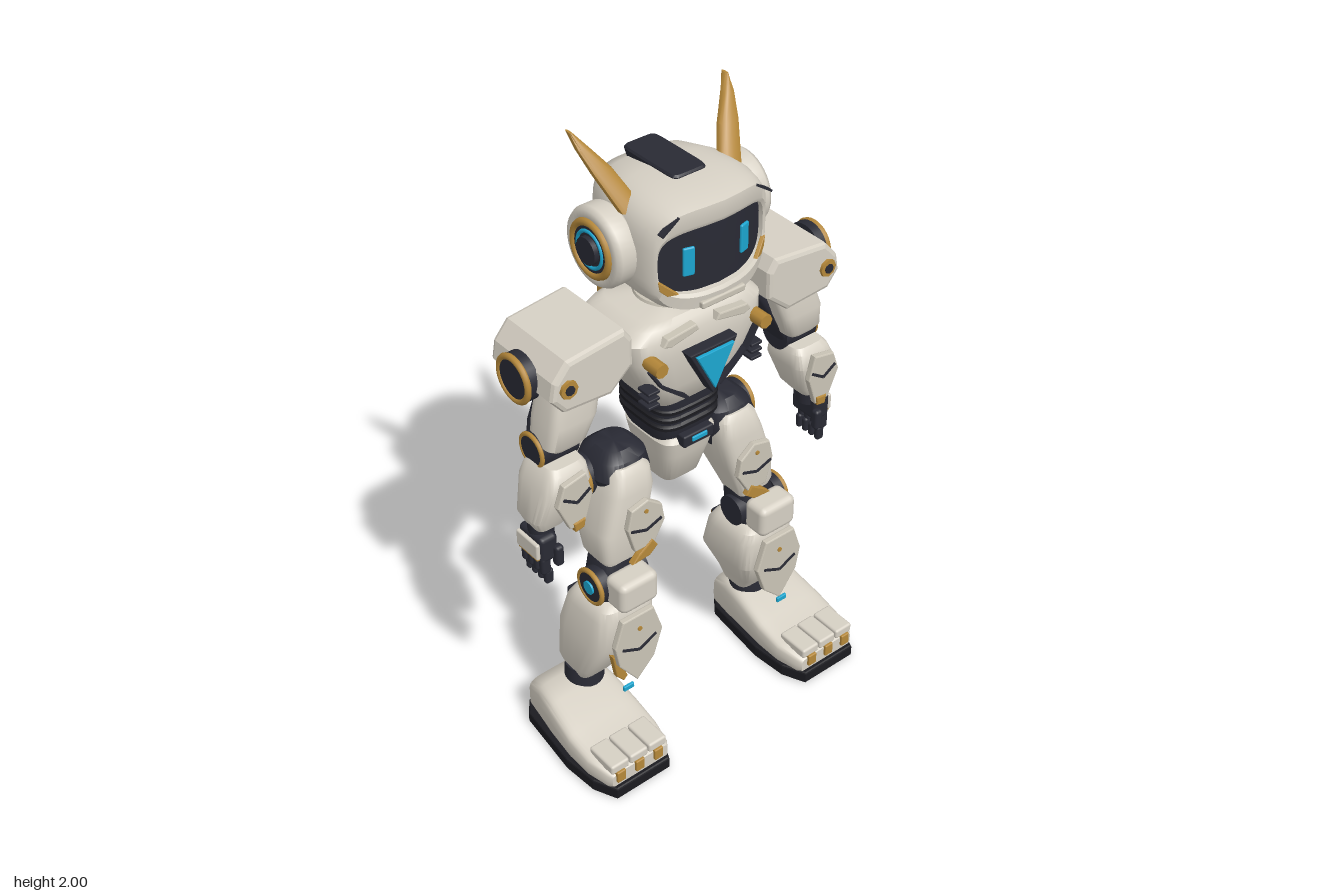
import * as THREE from 'three';
import { toCreasedNormals } from 'three/addons/utils/BufferGeometryUtils.js';
import { RoundedBoxGeometry } from 'three/addons/geometries/RoundedBoxGeometry.js';

const mat = (name, color) => Object.assign(new THREE.MeshStandardMaterial({ color }), { name });

// Superelliptic rings [t, centreU, centreV, halfU, halfV] stacked along y (u=x, v=z) or z (u=x, v=y)
function loft(sections, e = 4, axis = 'y', bend = null, n = 32) {
  const pos = [], idx = [], pw = (c) => Math.sign(c) * Math.abs(c) ** (2 / e);
  const put = (u, t, v) => {
    const p = axis === 'y' ? [u, t, v] : [u, v, t];
    if (bend) p[2] = bend(p[0], p[2]);
    pos.push(...p);
  };
  for (const [t, cu, cv, hu, hv] of sections)
    for (let j = 0; j < n; j++) {
      const a = (j / n) * Math.PI * 2, s = axis === 'y' ? 1 : -1;
      put(cu + hu * pw(Math.cos(a)), t, cv + s * hv * pw(Math.sin(a)));
    }
  const last = sections.length - 1;
  for (let i = 0; i < last; i++)
    for (let j = 0; j < n; j++) {
      const k = (j + 1) % n, a = i * n + j, b = i * n + k, c = b + n, d = a + n;
      idx.push(a, d, b, b, d, c);
    }
  for (const i of [0, last]) {
    const m = pos.length / 3, [t, cu, cv] = sections[i];
    put(cu, t, cv);
    for (let j = 0; j < n; j++) {
      const a = i * n + j, b = i * n + (j + 1) % n;
      idx.push(...(i ? [m, b, a] : [m, a, b]));
    }
  }
  const g = new THREE.BufferGeometry();
  g.setAttribute('position', new THREE.Float32BufferAttribute(pos, 3));
  g.setIndex(idx);
  return toCreasedNormals(g, 0.65);
}

// Polygon outline in xy, extruded from z with a small inset bevel
function plate(points, z, depth, bevel = 0.004) {
  const shape = new THREE.Shape(points.map(([x, y]) => new THREE.Vector2(x, y)));
  return new THREE.ExtrudeGeometry(shape, {
    depth: depth - 2 * bevel, bevelEnabled: bevel > 0, bevelThickness: bevel,
    bevelSize: bevel, bevelOffset: -bevel, bevelSegments: 2,
  }).translate(0, 0, z + bevel);
}
const box = (x, y, z, w, h, d, r = 0.006) => (r
  ? new RoundedBoxGeometry(w, h, d, 2, Math.min(r, w / 2.1, h / 2.1, d / 2.1))
  : new THREE.BoxGeometry(w, h, d)).translate(x, y, z);
const ball = (x, y, z, r) => new THREE.SphereGeometry(r, 24, 16).translate(x, y, z);
const discX = (x, y, z, r, w) => new THREE.CylinderGeometry(r, r, w, 32).rotateZ(Math.PI / 2).translate(x, y, z);
const discZ = (x, y, z, r, w) => new THREE.CylinderGeometry(r, r, w, 8).rotateX(Math.PI / 2).translate(x, y, z);
const ringX = (x, y, z, r, t) => new THREE.TorusGeometry(r, t, 10, 32).rotateY(Math.PI / 2).translate(x, y, z);
// Straight strip between two points on the front
const strip = (x1, y1, x2, y2, z, w = 0.008, d = 0.006) =>
  new THREE.BoxGeometry(Math.hypot(x2 - x1, y2 - y1), w, d)
    .rotateZ(Math.atan2(y2 - y1, x2 - x1)).translate((x1 + x2) / 2, (y1 + y2) / 2, z);

function mirrored(geometry) {
  const g = geometry.index ? geometry.toNonIndexed() : geometry.clone();
  g.scale(-1, 1, 1);
  for (const a of Object.values(g.attributes))
    for (let i = 0; i < a.count; i += 3)
      for (let c = 0; c < a.itemSize; c++) {
        const v = a.getComponent(i + 1, c);
        a.setComponent(i + 1, c, a.getComponent(i + 2, c));
        a.setComponent(i + 2, c, v);
      }
  return g;
}

export function createModel() {
  const shell = mat('ivory shell', 0xd6d0c4), panel = mat('pale panel', 0xcac4b6);
  const dark = mat('charcoal joint', 0x292a34), sole = mat('black sole', 0x1b1b20);
  const brass = mat('brass trim', 0xb5883a), glow = mat('cyan light', 0x1ca6d0);
  const root = new THREE.Group();
  root.name = 'robot';
  const add = (name, m, g) => {
    const mesh = new THREE.Mesh(g, m);
    mesh.name = name;
    root.add(mesh);
  };
  const pair = (name, m, g) => {
    add(name + 'Left', m, g);
    add(name + 'Right', m, mirrored(g));
  };
  const joint = (name, x, y, z, r, centre) => {
    pair(name + 'Hub', dark, discX(x - 0.015, y, z, r * 0.95, 0.04));
    pair(name + 'Ring', brass, ringX(x, y, z, r * 0.87, r * 0.13));
    if (centre === 'ring') pair(name + 'Light', glow, ringX(x + 0.004, y, z, r * 0.6, 0.006));
    if (centre === 'disc') pair(name + 'Light', glow, discX(x + 0.006, y, z, r * 0.35, 0.01));
  };
  const chevron = (name, x1, x2, y, drop, z) => {
    const m = (x1 + x2) / 2;
    pair(name + 'Inner', dark, strip(x1, y, m, y - drop, z));
    pair(name + 'Outer', dark, strip(m, y - drop, x2, y, z));
  };

  // Head with a wrapped, recessed visor
  const wrap = (x, z) => z - 1.5 * x * x * THREE.MathUtils.clamp((z - 0.06) / 0.1, 0, 1);
  add('head', shell, loft([[-0.235, 0, 1.69, 0.08, 0.085], [-0.215, 0, 1.69, 0.125, 0.12],
    [-0.15, 0, 1.692, 0.177, 0.152], [-0.05, 0, 1.695, 0.207, 0.166], [0.06, 0, 1.695, 0.21, 0.167],
    [0.15, 0, 1.69, 0.203, 0.163], [0.183, 0, 1.69, 0.194, 0.153], [0.187, 0, 1.687, 0.186, 0.112],
    [0.18, 0, 1.685, 0.18, 0.1], [0.14, 0, 1.685, 0.176, 0.098]], 3.4, 'z', wrap, 48));
  add('visor', dark, loft([1, 0.8, 0.6, 0.4, 0.2, 0.02].map((s) =>
    [0.165, 0, 1.685, 0.179 * s, 0.1 * s]), 4, 'z', wrap, 48));
  pair('eye', glow, new RoundedBoxGeometry(0.034, 0.086, 0.01, 2, 0.0045).rotateY(0.28).translate(0.095, 1.682, 0.154));
  pair('cheekTrim', brass, plate([[0.13, 1.6], [0.185, 1.645], [0.18, 1.615], [0.16, 1.597]], 0, 0.012, 0.002)
    .rotateY(0.48).translate(0.015, 0, 0.213));
  add('chinPlate', panel, box(0, 1.55, 0.18, 0.15, 0.022, 0.02));
  pair('browSeam', dark, strip(0.13, 1.828, 0.185, 1.79, 0.15, 0.006, 0.02));
  add('crownPanel', dark, loft([[1.835, 0, -0.062, 0.05, 0.108], [1.864, 0, -0.062, 0.057, 0.113],
    [1.87, 0, -0.062, 0.053, 0.109]], 9));
  pair('ear', shell, new THREE.LatheGeometry([[0, 0], [0.108, 0], [0.116, 0.015], [0.116, 0.06],
    [0.108, 0.074], [0.088, 0.076], [0.085, 0.066], [0, 0.066]].map((p) => new THREE.Vector2(...p)), 40)
    .rotateZ(-Math.PI / 2).translate(0.19, 1.695, -0.037));
  joint('ear', 0.266, 1.695, -0.037, 0.088, 'ring');
  pair('earCap', dark, discX(0.275, 1.695, -0.037, 0.04, 0.02));
  pair('horn', brass, loft([[1.8, 0.168, 0.005, 0.037, 0.022], [1.9, 0.212, -0.055, 0.032, 0.019],
    [1.96, 0.243, -0.095, 0.018, 0.016], [2, 0.26, -0.125, 0.004, 0.013]], 2.6, 'y', null, 12));

  // Neck and torso
  add('neck', dark, new THREE.CylinderGeometry(0.075, 0.085, 0.12, 32).translate(0, 1.48, -0.045));
  add('neckRing', brass, new THREE.CylinderGeometry(0.084, 0.084, 0.014, 32).translate(0, 1.508, -0.045));
  add('collar', panel, new THREE.CylinderGeometry(0.1, 0.11, 0.03, 32).translate(0, 1.455, -0.045));
  add('chest', shell, loft([[1.14, 0, -0.05, 0.105, 0.1], [1.16, 0, -0.045, 0.12, 0.115], [1.24, 0, -0.04, 0.17, 0.14],
    [1.36, 0, -0.04, 0.235, 0.155], [1.42, 0, -0.04, 0.24, 0.15], [1.45, 0, -0.04, 0.205, 0.135],
    [1.462, 0, -0.04, 0.17, 0.12]], 5));
  add('emblemFrame', dark, plate([[-0.085, 1.37], [0.085, 1.37], [0, 1.21]], 0.105, 0.045));
  add('emblemLight', glow, plate([[-0.066, 1.36], [0.066, 1.36], [0, 1.232]], 0.148, 0.012, 0.002));
  pair('chestBar', panel, plate([[0.03, 1.425], [0.13, 1.405], [0.155, 1.415], [0.14, 1.435], [0.04, 1.445]], 0.09, 0.035));
  pair('chestSeamUpper', dark, strip(0.19, 1.34, 0.15, 1.275, 0.108, 0.008, 0.02));
  pair('chestSeamLower', dark, strip(0.15, 1.275, 0.055, 1.195, 0.1, 0.008, 0.03));
  pair('chestBolt', brass, discZ(0.185, 1.37, 0.125, 0.022, 0.06));
  for (const i of [0, 1, 2]) pair('sideVent' + i, dark, box(0.185, 1.23 + i * 0.023, 0.095, 0.04, 0.01, 0.05, 0.003));
  add('backpack', dark, box(0, 1.305, -0.23, 0.12, 0.2, 0.1, 0.012));
  pair('backpackRail', brass, box(0.064, 1.305, -0.265, 0.016, 0.2, 0.04, 0.005));
  add('backpackLight', glow, plate([[-0.033, 1.345], [0.033, 1.345], [0, 1.295]], -0.294, 0.016, 0.002));

  // Ribbed waist and pelvis
  add('waist', dark, loft([[0.99, 0, -0.05, 0.09, 0.09], [1.04, 0, -0.05, 0.11, 0.115], [1.16, 0, -0.05, 0.113, 0.12]], 4));
  for (const i of [0, 1, 2]) add('waistRib' + i, sole, loft([[1.055, 0, 0, 0.108, 0.115], [1.062, 0, 0, 0.117, 0.124],
    [1.072, 0, 0, 0.117, 0.124], [1.079, 0, 0, 0.108, 0.115]], 4).translate(0, i * 0.028, -0.05));
  add('pelvis', shell, loft([[0.825, 0, -0.045, 0.05, 0.055], [0.84, 0, -0.045, 0.066, 0.07], [0.95, 0, -0.045, 0.09, 0.105],
    [1.005, 0, -0.045, 0.1, 0.115], [1.02, 0, -0.045, 0.09, 0.105]], 4.5));
  add('buckle', dark, box(0, 1.02, 0.07, 0.11, 0.04, 0.04));
  add('buckleLight', glow, box(0, 1.024, 0.092, 0.055, 0.016, 0.008, 0.003));

  // Shoulders
  pair('shoulderBall', dark, ball(0.25, 1.38, -0.04, 0.075));
  pair('shoulderPad', shell, plate([[0.5, 1.44], [0.455, 1.492], [0.265, 1.512], [0.24, 1.475], [0.24, 1.39],
    [0.315, 1.325], [0.47, 1.335], [0.51, 1.385]], -0.177, 0.28, 0.014));
  joint('shoulder', 0.532, 1.4, -0.037, 0.075);
  pair('shoulderBolt', brass, discZ(0.458, 1.412, 0.105, 0.028, 0.014));
  pair('shoulderBoltCore', dark, discZ(0.458, 1.412, 0.112, 0.015, 0.008));
  for (let i = 0; i < 6; i++) pair('shoulderVent' + i, dark,
    box(0.365 + (i % 2) * 0.042, 1.39 + Math.floor(i / 2) * 0.022, -0.178, 0.035, 0.011, 0.008, 0.003));

  // Arms
  pair('armCore', dark, loft([[1.14, 0.435, -0.025, 0.055, 0.06], [1.2, 0.41, -0.035, 0.06, 0.07], [1.34, 0.33, -0.06, 0.06, 0.07]]));
  pair('upperArm', shell, loft([[1.17, 0.43, 0.005, 0.05, 0.05], [1.185, 0.43, 0.005, 0.066, 0.06],
    [1.26, 0.41, 0.01, 0.078, 0.066], [1.36, 0.38, 0, 0.08, 0.06]], 4.5));
  pair('elbow', dark, discX(0.44, 1.155, -0.02, 0.055, 0.12));
  joint('elbow', 0.5, 1.155, -0.02, 0.056);
  pair('forearm', shell, loft([[0.925, 0.495, 0.01, 0.045, 0.045], [0.965, 0.487, 0.012, 0.07, 0.062],
    [1.07, 0.455, 0.015, 0.078, 0.085], [1.115, 0.447, 0.012, 0.066, 0.075], [1.13, 0.445, 0.01, 0.055, 0.06]], 4.5));
  pair('forearmPlate', panel, plate([[0.495, 1.105], [0.42, 1.12], [0.4, 1.04], [0.43, 0.945], [0.48, 0.95], [0.518, 1.04]], 0.095, 0.022));
  chevron('forearmChevron', 0.41, 0.5, 1.065, 0.03, 0.118);
  pair('forearmTrim', brass, plate([[0.43, 0.97], [0.47, 0.965], [0.465, 0.935], [0.435, 0.94]], 0.1, 0.022));
  pair('wrist', dark, new THREE.CylinderGeometry(0.038, 0.038, 0.08, 20).translate(0.505, 0.91, 0.008));
  pair('palm', dark, box(0.515, 0.86, 0.008, 0.06, 0.09, 0.11, 0.015));
  pair('handPlate', shell, box(0.55, 0.862, 0.008, 0.014, 0.055, 0.1));
  pair('knuckleTrim', brass, box(0.548, 0.832, 0.008, 0.012, 0.008, 0.09, 0.003));
  for (let i = 0; i < 4; i++) {
    pair('finger' + i, dark, box(0.527, 0.802, -0.034 + i * 0.028, 0.032, 0.06, 0.023, 0.009));
    pair('fingertip' + i, dark, box(0.517, 0.757, -0.034 + i * 0.028, 0.028, 0.05, 0.021, 0.009));
  }
  pair('thumb', dark, box(0.49, 0.83, 0.065, 0.028, 0.07, 0.028, 0.01));

  // Hips and thighs
  pair('hip', dark, loft([[0.86, 0.2, -0.06, 0.07, 0.08], [0.94, 0.2, -0.06, 0.094, 0.1], [0.99, 0.195, -0.06, 0.08, 0.085],
    [1.013, 0.195, -0.06, 0.05, 0.055]], 3));
  joint('hip', 0.305, 0.92, -0.085, 0.068, 'ring');
  pair('thigh', shell, loft([[0.66, 0.255, 0.005, 0.058, 0.055], [0.69, 0.257, 0, 0.07, 0.068], [0.78, 0.24, -0.022, 0.085, 0.09],
    [0.9, 0.208, -0.05, 0.082, 0.115], [0.96, 0.2, -0.06, 0.07, 0.112], [0.98, 0.2, -0.06, 0.055, 0.095]], 4.5));
  pair('thighPlate', panel, plate([[0.26, 0.885], [0.2, 0.9], [0.15, 0.86], [0.14, 0.8], [0.18, 0.73], [0.25, 0.73], [0.275, 0.82]], 0.085, 0.022));
  chevron('thighChevron', 0.155, 0.265, 0.815, 0.02, 0.108);
  pair('thighBolt', brass, discZ(0.21, 0.865, 0.108, 0.007, 0.006));
  pair('thighTrim', brass, plate([[0.19, 0.75], [0.17, 0.72], [0.2, 0.695], [0.265, 0.69], [0.24, 0.715]], 0.09, 0.022));

  // Knees and shins
  pair('kneeCore', dark, loft([[0.52, 0.275, 0.01, 0.065, 0.06], [0.605, 0.27, 0.02, 0.08, 0.065], [0.7, 0.255, 0, 0.06, 0.055]], 3));
  joint('knee', 0.358, 0.605, 0.03, 0.062, 'disc');
  pair('kneeCap', shell, box(0.268, 0.61, 0.11, 0.138, 0.108, 0.09, 0.022));
  pair('kneeInnerHub', dark, discX(0.195, 0.605, 0.03, 0.05, 0.03));
  pair('shin', shell, loft([[0.21, 0.32, -0.05, 0.06, 0.055], [0.26, 0.32, -0.042, 0.076, 0.08], [0.4, 0.282, -0.005, 0.112, 0.12],
    [0.5, 0.275, 0.008, 0.103, 0.107], [0.535, 0.275, 0.015, 0.09, 0.092], [0.55, 0.275, 0.015, 0.07, 0.075]], 4.5));
  pair('shinPlate', panel, plate([[0.335, 0.53], [0.22, 0.53], [0.188, 0.43], [0.22, 0.335], [0.285, 0.27], [0.35, 0.36], [0.365, 0.44]], 0.13, 0.022));
  chevron('shinChevron', 0.215, 0.34, 0.425, 0.03, 0.153);
  pair('shinBolt', brass, discZ(0.275, 0.478, 0.153, 0.008, 0.006));
  pair('shinTrim', brass, plate([[0.36, 0.39], [0.34, 0.375], [0.305, 0.285], [0.32, 0.27], [0.345, 0.3]], 0.108, 0.022));
  pair('shinLight', glow, box(0.308, 0.242, 0.135, 0.038, 0.018, 0.01, 0.003));
  pair('calfVent', dark, box(0.285, 0.39, -0.122, 0.085, 0.16, 0.035, 0.008));
  for (let i = 0; i < 15; i++) pair('calfStud' + i, brass,
    box(0.26 + (i % 3) * 0.025, 0.334 + Math.floor(i / 3) * 0.028, -0.142, 0.016, 0.012, 0.012, 0));

  // Feet
  pair('ankle', dark, new THREE.CylinderGeometry(0.058, 0.066, 0.1, 24).translate(0.335, 0.18, -0.055));
  pair('foot', shell, loft([[-0.17, 0.375, 0.075, 0.085, 0.045], [-0.155, 0.375, 0.085, 0.1, 0.06], [-0.085, 0.375, 0.105, 0.115, 0.077],
    [-0.01, 0.378, 0.101, 0.125, 0.073], [0.1, 0.38, 0.082, 0.134, 0.053], [0.19, 0.38, 0.07, 0.132, 0.042],
    [0.265, 0.38, 0.066, 0.115, 0.036], [0.28, 0.38, 0.064, 0.105, 0.028]], 5, 'z'));
  pair('sole', sole, plate([[0.235, 0.1], [0.245, 0.22], [0.28, 0.295], [0.48, 0.295], [0.515, 0.22], [0.525, 0.1],
    [0.5, -0.13], [0.465, -0.175], [0.295, -0.175], [0.26, -0.13]], 0, 0.043, 0.006).rotateX(Math.PI / 2).translate(0, 0.043, 0));
  for (let i = 0; i < 3; i++) {
    const x = 0.312 + i * 0.071;
    pair('toe' + i, shell, box(x, 0.112, 0.225, 0.066, 0.034, 0.112, 0.008));
    pair('toeTip' + i, brass, box(x + 0.002, 0.08, 0.28, 0.032, 0.042, 0.018, 0.004));
  }
  return root;
}
